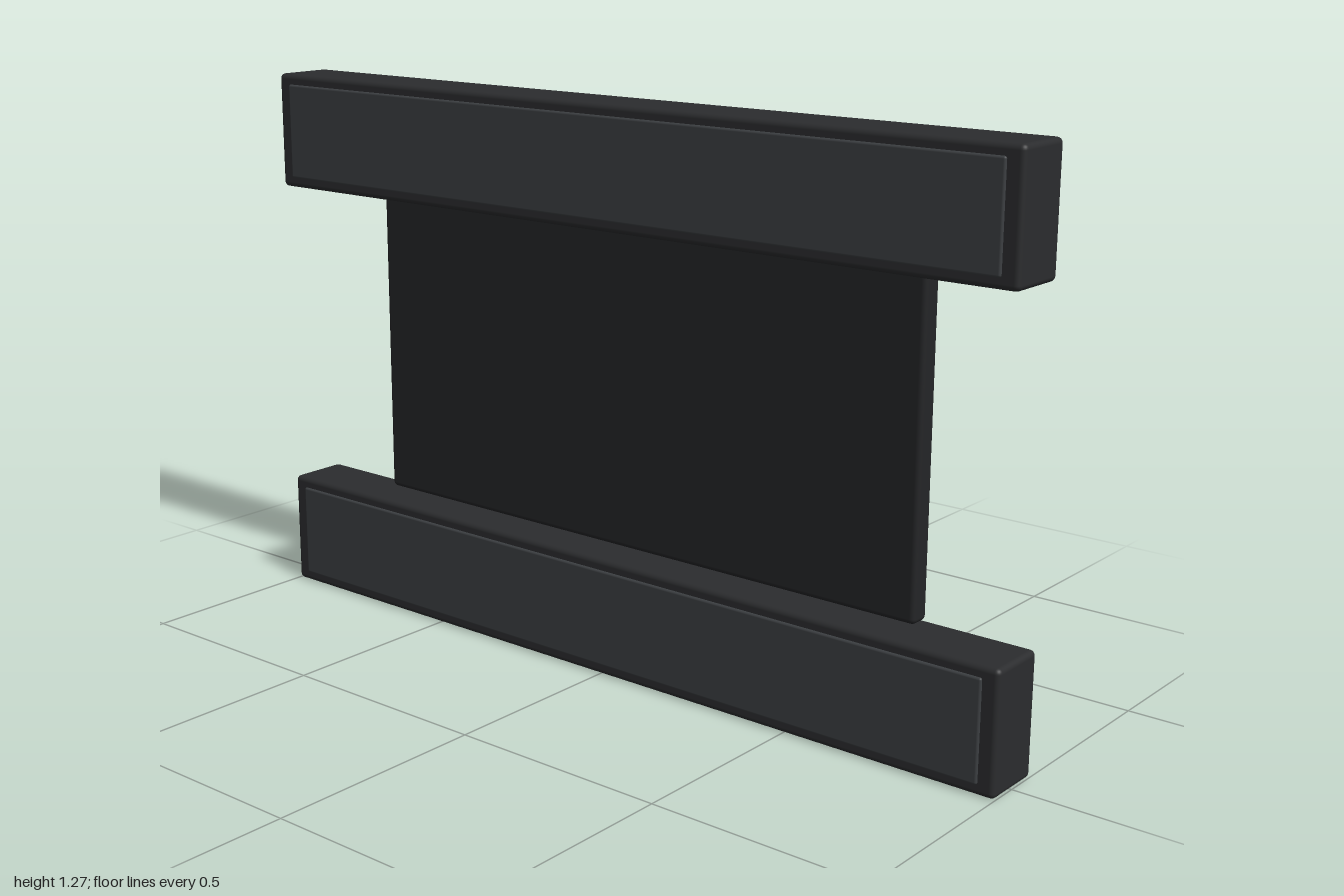
import * as THREE from 'three';
import { RoundedBoxGeometry } from 'three/addons/geometries/RoundedBoxGeometry.js';

const frameMat = new THREE.MeshStandardMaterial({ color: 0x2b2c2e });
const plateMat = new THREE.MeshStandardMaterial({ color: 0x3c3f42 });
const panelMat = new THREE.MeshStandardMaterial({ color: 0x242527 });

// Rounded box given by its lower and upper corners
function block(name, min, max, radius, material) {
  const [w, h, d] = max.map((v, i) => v - min[i]);
  const mesh = new THREE.Mesh(new RoundedBoxGeometry(w, h, d, 3, radius), material);
  mesh.position.set(...max.map((v, i) => (v + min[i]) / 2));
  mesh.name = name;
  return mesh;
}

export function createModel() {
  const model = new THREE.Group();
  model.name = 'railPanel';

  // Two horizontal rails, each with a slightly raised front plate
  for (const [name, y] of [['lowerRail', 0], ['upperRail', 1.0]]) {
    const rail = new THREE.Group();
    rail.name = name;
    rail.position.y = y;
    rail.add(
      block('railBeam', [-1, 0, -0.074], [1, 0.27, 0.07], 0.012, frameMat),
      block('frontPlate', [-0.963, 0.024, 0.055], [0.963, 0.246, 0.075], 0.005, plateMat)
    );
    model.add(rail);
  }

  // Thin panel joining the rails, flush with their backs
  model.add(block('backPanel', [-0.75, 0.27, -0.074], [0.75, 1.0, -0.025], 0.012, panelMat));

  return model;
}
